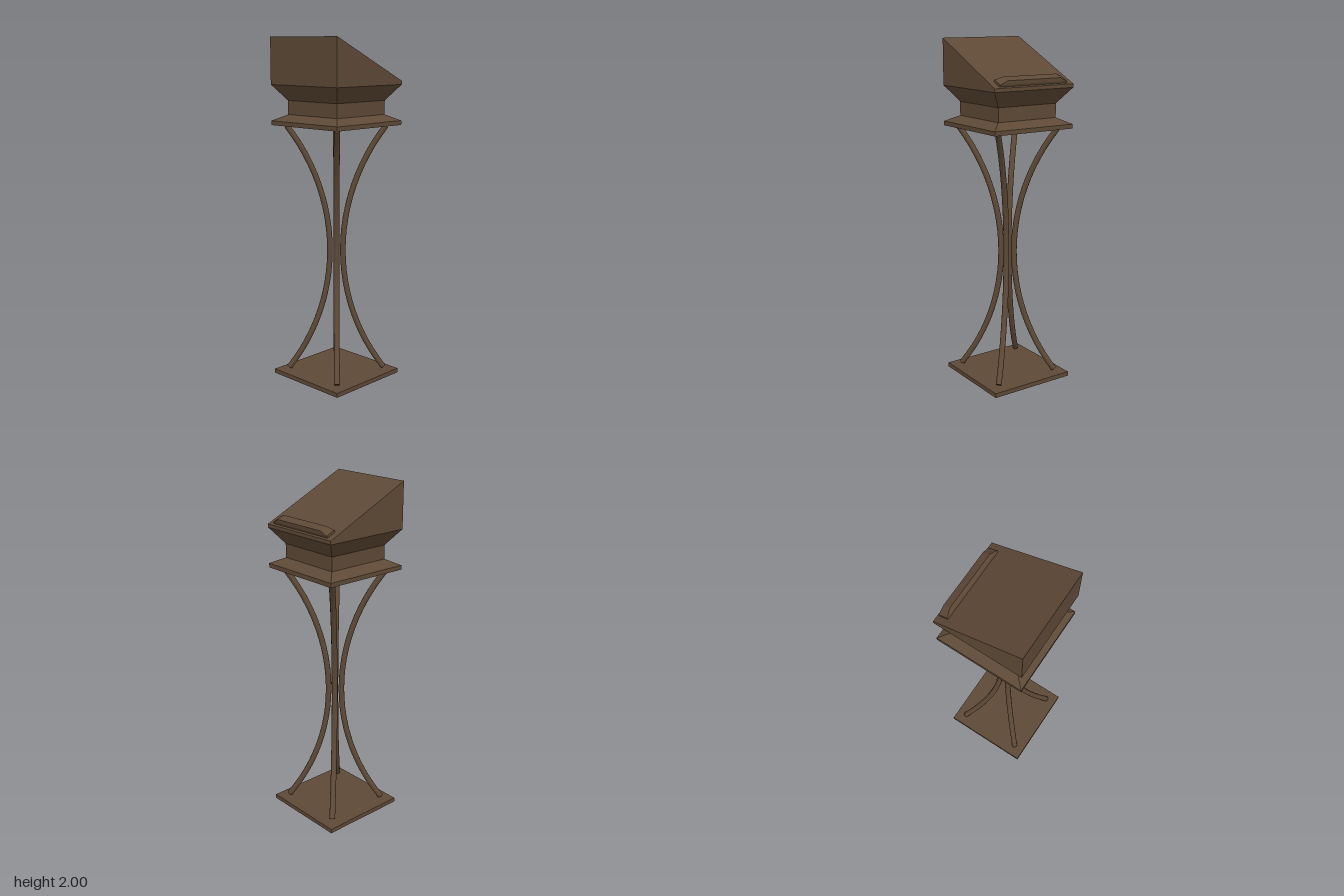
import * as THREE from 'three';

const HALF = 0.263; // half width of the square plates
const LOW = 1.755, HIGH = 2.0; // sloped top, low edge and high edge

// Box from y0 to y1 whose top is scaled to its own half sizes, with flat faces
function taper(y0, y1, bx, bz, tx, tz) {
  const g = new THREE.BoxGeometry(2, 1, 2).toNonIndexed();
  const p = g.attributes.position;
  for (let i = 0; i < p.count; i++) {
    const top = p.getY(i) > 0;
    p.setXYZ(i, p.getX(i) * (top ? tx : bx), top ? y1 : y0, p.getZ(i) * (top ? tz : bz));
  }
  g.computeVertexNormals();
  return g;
}

export function createModel() {
  const wood = new THREE.MeshStandardMaterial({ color: 0x5e4936 });
  wood.name = 'dark brown wood';
  const model = new THREE.Group();
  model.name = 'lectern';
  const turned = new THREE.Group();
  turned.name = 'lecternBody';
  turned.rotation.y = -0.382;
  model.add(turned);

  const add = (name, geometry, parent = turned) => {
    const mesh = new THREE.Mesh(geometry, wood);
    mesh.name = name;
    parent.add(mesh);
    return mesh;
  };

  // Stacked square sections: name, bottom, top, half width below and above
  const neck = 0.195;
  [
    ['basePlate', 0, 0.026, HALF, HALF],
    ['upperPlate', 1.505, 1.53, HALF, HALF],
    ['lowerFlare', 1.53, 1.565, HALF, neck],
    ['neck', 1.565, 1.645, neck, neck],
    ['upperFlare', 1.645, 1.735, neck, HALF],
  ].forEach(([name, y0, y1, a, b]) => add(name, taper(y0, y1, a, a, b, b)));

  // Desk head with sloped top, highest on the front side
  const desk = taper(1.735, HIGH, HALF, HALF, HALF, HALF);
  const p = desk.attributes.position;
  for (let i = 0; i < p.count; i++) {
    if (p.getY(i) > 1.8 && p.getZ(i) < 0) p.setY(i, LOW);
  }
  desk.computeVertexNormals();
  add('deskTop', desk);

  // Bevelled book ledge lying on the slope
  const slope = (HIGH - LOW) / (2 * HALF);
  const ledge = new THREE.Group();
  ledge.name = 'bookLedge';
  ledge.position.set(0, LOW + (HALF - 0.2245) * slope, -0.2245);
  ledge.rotation.x = -Math.atan(slope);
  turned.add(ledge);
  add('ledgeBase', taper(-0.004, 0.012, 0.223, 0.029, 0.223, 0.029), ledge);
  add('ledgeBevel', taper(0.012, 0.032, 0.223, 0.029, 0.175, 0.0225), ledge);

  // Four bowed rods, one towards each corner
  const radius = 0.017, midY = 0.77, R = 1.21, waist = 0.038;
  const sweep = Math.asin(0.73 / R);
  const points = [];
  for (let i = 0; i <= 16; i++) {
    const a = -sweep + (2 * sweep * i) / 16;
    points.push(new THREE.Vector3(waist + R * (1 - Math.cos(a)), midY + R * Math.sin(a), 0));
  }
  const curve = new THREE.CatmullRomCurve3(points);
  const tube = new THREE.TubeGeometry(curve, 24, radius, 10);
  const cap = new THREE.CircleGeometry(radius, 10);
  for (let k = 0; k < 4; k++) {
    const rod = new THREE.Group();
    rod.name = 'bowedRod';
    rod.rotation.y = Math.PI / 4 + (k * Math.PI) / 2;
    turned.add(rod);
    add('rodShaft', tube, rod);
    for (const t of [0, 1]) {
      const end = add('rodEnd', cap, rod);
      end.position.copy(curve.getPoint(t));
      const out = curve.getTangent(t).multiplyScalar(t ? 1 : -1);
      end.quaternion.setFromUnitVectors(new THREE.Vector3(0, 0, 1), out);
    }
  }
  return model;
}
